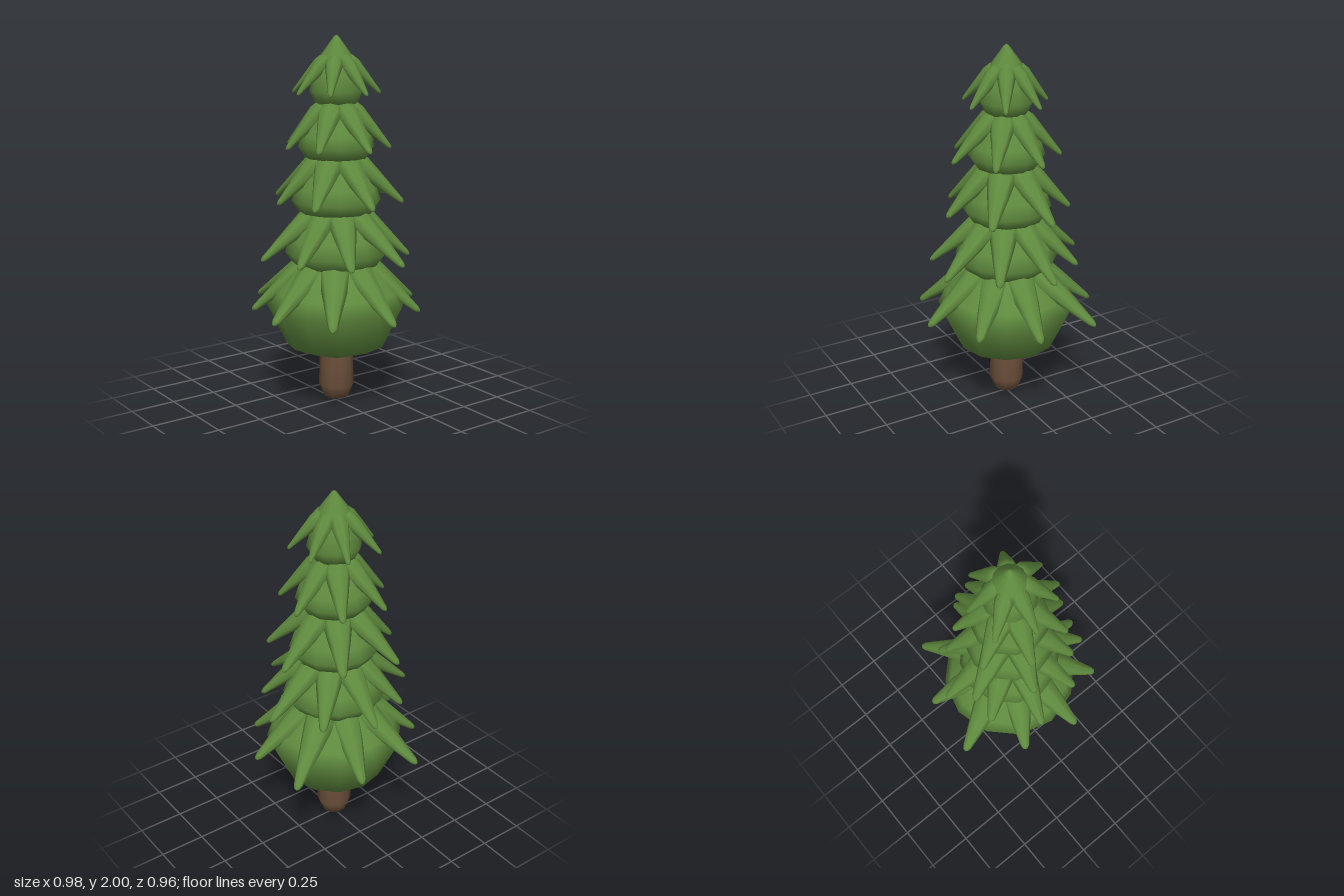
import * as THREE from 'three';

const leafGreen = new THREE.MeshStandardMaterial({ color: 0x5f8a3e });
leafGreen.name = 'leafGreen';
const barkBrown = new THREE.MeshStandardMaterial({ color: 0x6b4f3a });
barkBrown.name = 'barkBrown';

const points = (list) => list.map(([x, y]) => new THREE.Vector2(x, y));

// Unit branch: rounded root at y = 0, narrow blunt tip at y = 1
const branchGeometry = new THREE.LatheGeometry(points([
  [0, -0.03], [0.8, 0.03], [1, 0.2], [0.7, 0.52], [0.27, 0.945], [0.16, 0.985], [0, 1],
]), 8);

// Each tier: body profile, branch root and tip as [radius, height], half width,
// half thickness, first angle in degrees, and the reach of each branch
const tiers = [
  {
    body: [[0, 0.26], [0.08, 0.268], [0.272, 0.34], [0.376, 0.56], [0.34, 0.64], [0.21, 0.79], [0, 0.86]],
    root: [0.1, 0.825], tipY: 0.535, width: 0.09, thick: 0.064, start: -2,
    reach: [0.49, 0.49, 0.485, 0.46, 0.525, 0.475, 0.54, 0.485, 0.46],
  },
  {
    body: [[0, 0.765], [0.23, 0.785], [0.278, 0.85], [0.25, 0.93], [0.16, 1.06], [0, 1.15]],
    root: [0.09, 1.09], tipY: 0.825, width: 0.079, thick: 0.056, start: -15,
    reach: [0.45, 0.415, 0.395, 0.425, 0.385, 0.42, 0.395, 0.445, 0.395],
  },
  {
    body: [[0, 1.05], [0.2, 1.07], [0.24, 1.13], [0.215, 1.2], [0.13, 1.35], [0, 1.43]],
    root: [0.075, 1.37], tipY: 1.12, width: 0.078, thick: 0.055, start: 3,
    reach: [0.35, 0.345, 0.33, 0.39, 0.34, 0.38, 0.36],
  },
  {
    body: [[0, 1.34], [0.165, 1.36], [0.204, 1.42], [0.185, 1.48], [0.105, 1.63], [0, 1.7]],
    root: [0.06, 1.645], tipY: 1.41, width: 0.066, thick: 0.048, start: 2,
    reach: [0.315, 0.3, 0.28, 0.305, 0.29, 0.29, 0.29],
  },
  {
    body: [[0, 1.625], [0.11, 1.645], [0.142, 1.71], [0.12, 1.79], [0.08, 1.9], [0.012, 1.993], [0, 2]],
    root: [0.055, 1.885], tipY: 1.695, width: 0.047, thick: 0.038, start: -8,
    reach: [0.23, 0.235, 0.235, 0.25, 0.22, 0.225, 0.235],
  },
];

// Stretches the unit branch from root to tip, pointing out at the given angle
function makeBranch(tier, reach, angle) {
  const c = Math.cos(angle), s = Math.sin(angle);
  const root = new THREE.Vector3(c * tier.root[0], tier.root[1], s * tier.root[0]);
  const along = new THREE.Vector3(c * reach, tier.tipY, s * reach).sub(root);
  const length = along.length();
  along.normalize();
  const side = new THREE.Vector3(-s, 0, c);
  const up = new THREE.Vector3().crossVectors(side, along);
  const branch = new THREE.Mesh(branchGeometry, leafGreen);
  branch.name = 'branch';
  branch.position.copy(root);
  branch.quaternion.setFromRotationMatrix(new THREE.Matrix4().makeBasis(side, along, up));
  branch.scale.set(tier.width, length, tier.thick);
  return branch;
}

export function createModel() {
  const tree = new THREE.Group();
  tree.name = 'tree';

  // Trunk with a rounded foot
  const trunk = new THREE.Mesh(new THREE.LatheGeometry(points([
    [0, 0], [0.068, 0.03], [0.096, 0.1], [0.092, 0.24], [0.088, 0.32],
  ]), 10), barkBrown);
  trunk.name = 'trunk';
  tree.add(trunk);

  // Stacked foliage tiers, each with a ring of drooping branches
  tiers.forEach((tier, i) => {
    const group = new THREE.Group();
    group.name = `foliageTier${i + 1}`;
    const body = new THREE.Mesh(new THREE.LatheGeometry(points(tier.body), 12), leafGreen);
    body.name = 'foliageBody';
    group.add(body);
    tier.reach.forEach((reach, k) => {
      const degrees = tier.start + (k * 360) / tier.reach.length;
      group.add(makeBranch(tier, reach, THREE.MathUtils.degToRad(degrees)));
    });
    tree.add(group);
  });
  return tree;
}
